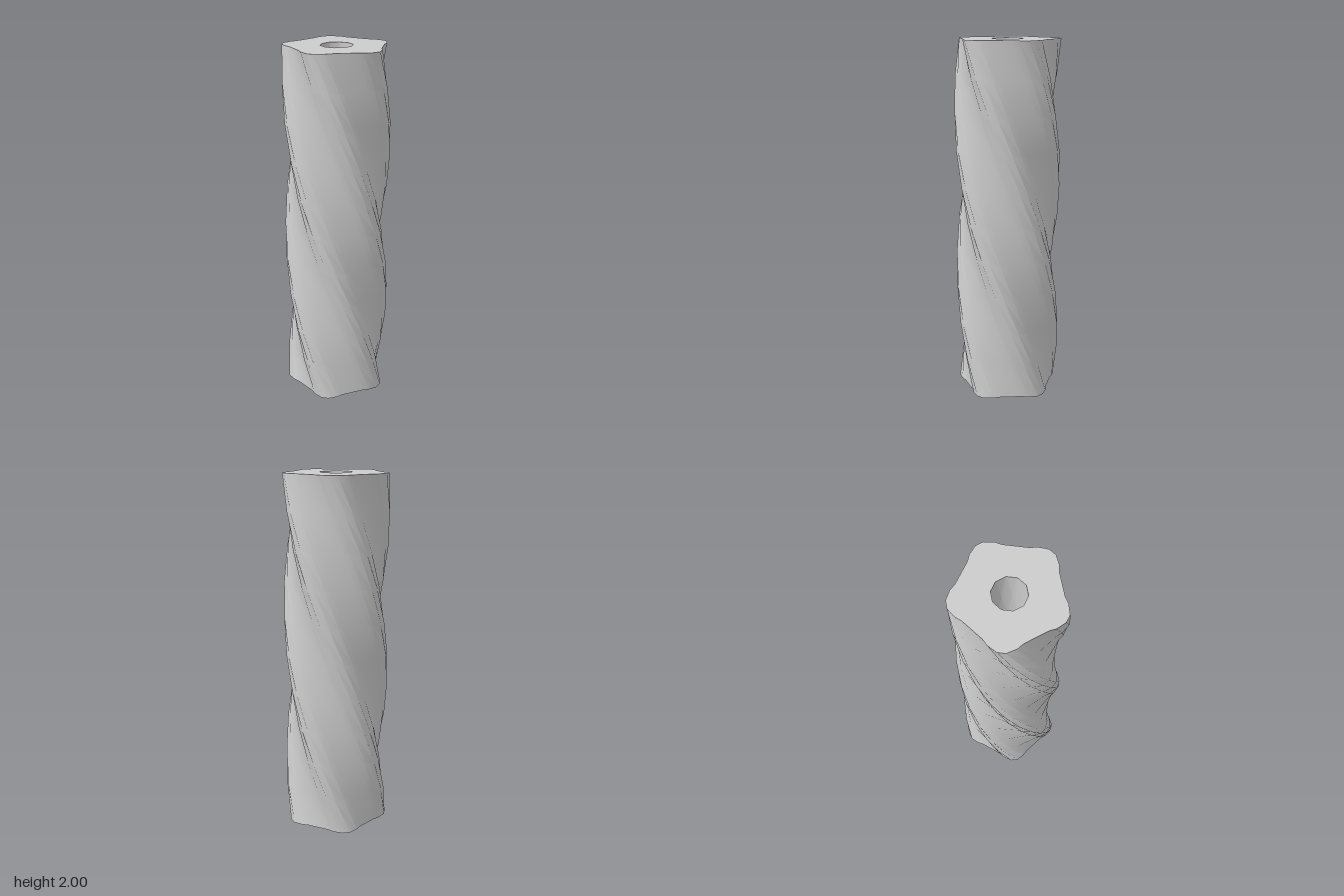
import * as THREE from 'three';
import { toCreasedNormals } from 'three/addons/utils/BufferGeometryUtils.js';

const HEIGHT = 2;
const TWIST = 2.75; // radians over the whole height
const STEPS = 10;
const LOBES = 5;

// Point at angle a (counter-clockwise) and radius r
const polar = (a, r) => new THREE.Vector2(Math.cos(a) * r, Math.sin(a) * r);

// Five-lobed cross-section with a ten-sided bore
function crossSection() {
  // Half of one side: [distance along the side, distance from the axis]
  const half = [[0.064, 0.245], [0.1, 0.253], [0.154, 0.248]];
  const side = [...half.map(([t, d]) => [-t, d]).reverse(), ...half];
  const outline = [];
  for (let i = 0; i < LOBES; i++) {
    const mid = Math.PI / 2 + (i * 2 * Math.PI) / LOBES;
    for (const [t, d] of side) {
      outline.push(polar(mid - Math.atan2(-t, d), Math.hypot(t, d)));
    }
  }
  const shape = new THREE.Shape(outline);
  const bore = [];
  for (let i = 0; i < 10; i++) bore.push(polar((-i * Math.PI) / 5, 0.0875));
  shape.holes.push(new THREE.Path(bore));
  return shape;
}

export function createModel() {
  const geometry = new THREE.ExtrudeGeometry(crossSection(), {
    depth: HEIGHT,
    steps: STEPS,
    bevelEnabled: false,
  });
  geometry.rotateX(-Math.PI / 2);

  // Twist each layer about the vertical axis
  const pos = geometry.attributes.position;
  const axis = new THREE.Vector3(0, 1, 0);
  const v = new THREE.Vector3();
  for (let i = 0; i < pos.count; i++) {
    v.fromBufferAttribute(pos, i);
    v.applyAxisAngle(axis, TWIST * (1 - v.y / HEIGHT));
    pos.setXYZ(i, v.x, v.y, v.z);
  }

  const column = new THREE.Mesh(
    toCreasedNormals(geometry, 0.6),
    new THREE.MeshStandardMaterial({ color: 0xcccccc })
  );
  column.name = 'twistedColumn';

  const group = new THREE.Group();
  group.name = 'twistedHollowColumn';
  group.add(column);
  return group;
}
